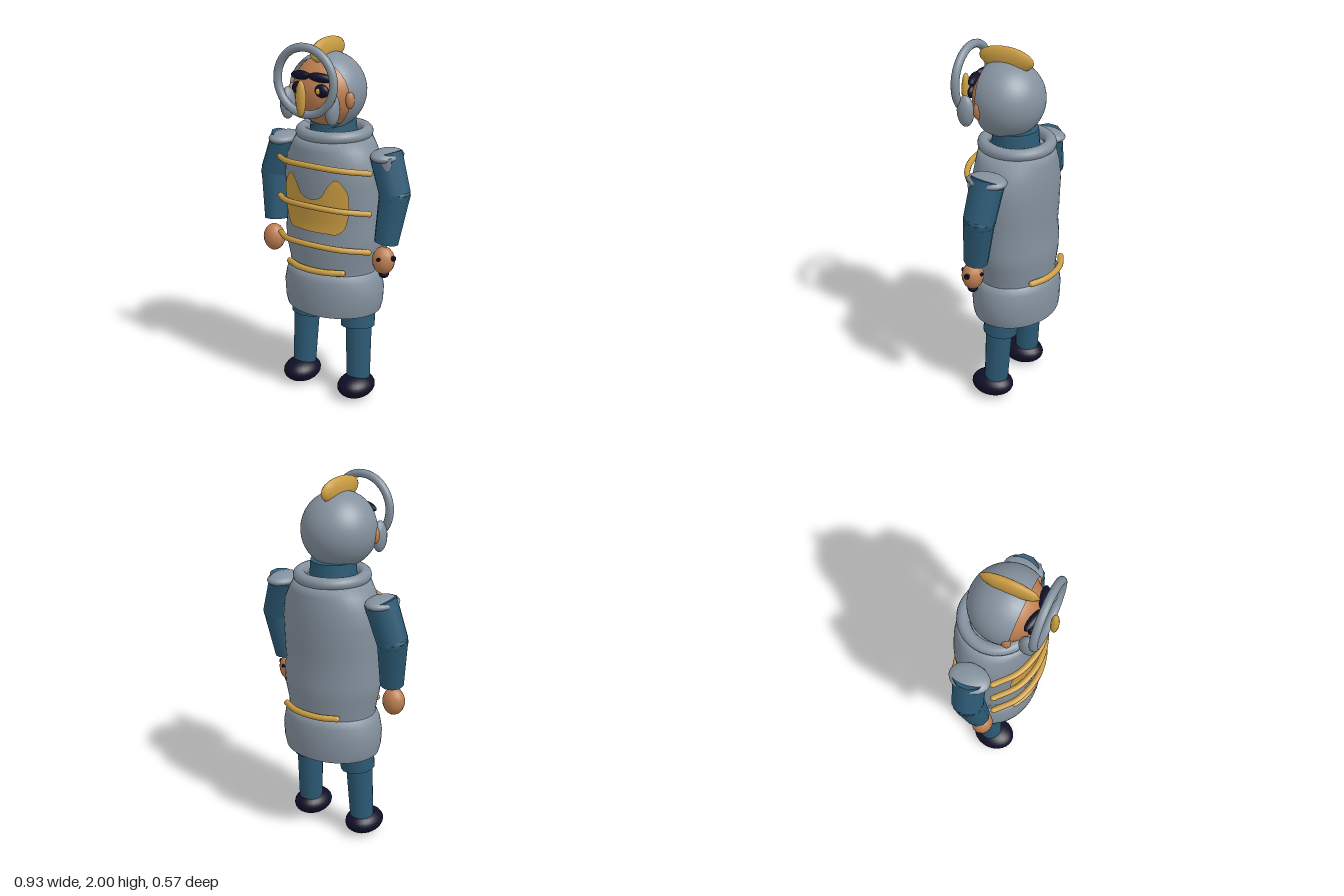
import * as THREE from 'three';
import { mergeVertices } from 'three/addons/utils/BufferGeometryUtils.js';

const V = (x, y, z) => new THREE.Vector3(x, y, z);

// Torso and skirt cross-sections: [height, half width, half depth]
const BODY_Z = -0.038;
const TORSO = [[0.72, 0.25, 0.2], [0.78, 0.255, 0.205], [0.86, 0.275, 0.213], [0.93, 0.283, 0.214], [1.02, 0.276, 0.205],
  [1.12, 0.28, 0.212], [1.25, 0.285, 0.216], [1.35, 0.272, 0.213], [1.42, 0.235, 0.205], [1.47, 0.205, 0.197], [1.475, 0.1, 0.1]];
const SKIRT = [[0.505, 0.272, 0.222], [0.55, 0.285, 0.227], [0.63, 0.29, 0.229], [0.7, 0.275, 0.222], [0.74, 0.255, 0.208], [0.75, 0.2, 0.16]];

// Interpolated half width and half depth at a height
function sectionAt(rows, y) {
  for (let i = 1; i < rows.length; i++) {
    const [a, b] = [rows[i - 1], rows[i]];
    if (y <= b[0] + 1e-6) {
      const t = (y - a[0]) / (b[0] - a[0]);
      return [a[1] + (b[1] - a[1]) * t, a[2] + (b[2] - a[2]) * t];
    }
  }
  return rows[rows.length - 1].slice(1);
}

// Lathe whose depth is rescaled to an elliptical section
function ovalLathe(rows) {
  const g = new THREE.LatheGeometry(rows.map(r => new THREE.Vector2(r[1], r[0])), 40);
  const p = g.attributes.position;
  for (let i = 0; i < p.count; i++) {
    const [rx, rz] = sectionAt(rows, p.getY(i));
    p.setZ(i, p.getZ(i) * rz / rx + BODY_Z);
  }
  g.deleteAttribute('uv');
  g.deleteAttribute('normal');
  const merged = mergeVertices(g, 1e-5);
  merged.computeVertexNormals();
  return merged;
}

// Curved chest plate: strips between an upper and a lower outline, hugging the torso
function chestPlate() {
  const upper = new THREE.SplineCurve([[-0.2, 1.13], [-0.195, 1.22], [-0.145, 1.285], [-0.1, 1.25], [-0.06, 1.185], [0, 1.165]].map(p => new THREE.Vector2(...p)));
  const lower = new THREE.SplineCurve([[-0.2, 1.1], [-0.18, 1.02], [-0.14, 0.985], [-0.1, 0.985], [-0.05, 0.985], [0, 0.985]].map(p => new THREE.Vector2(...p)));
  const pos = [], index = [], N = 24, M = 8;
  for (let i = 0; i <= 2 * N; i++) {
    const t = 1 - Math.abs(i - N) / N, s = i <= N ? 1 : -1;
    const a = lower.getPoint(t), b = upper.getPoint(t);
    for (let j = 0; j <= M; j++) {
      const q = a.clone().lerp(b, j / M), [rx, rz] = sectionAt(TORSO, q.y);
      pos.push(q.x * s, q.y, BODY_Z + 0.009 + rz * Math.sqrt(1 - (q.x / rx / 1.04) ** 2));
      if (i < 2 * N && j < M) {
        const k = i * (M + 1) + j, n = k + M + 1;
        index.push(k, n, k + 1, n, n + 1, k + 1);
      }
    }
  }
  const g = new THREE.BufferGeometry();
  g.setAttribute('position', new THREE.Float32BufferAttribute(pos, 3));
  g.setIndex(index);
  g.computeVertexNormals();
  return g;
}

export function createModel() {
  const root = new THREE.Group();
  const material = (name, color, extra = {}) => {
    const m = new THREE.MeshStandardMaterial({ color, ...extra });
    m.name = name;
    return m;
  };
  const steel = material('steel', 0x84919e, { side: THREE.DoubleSide });
  const cloth = material('teal cloth', 0x2c5a75);
  const gold = material('gold', 0xcb9d42, { side: THREE.DoubleSide });
  const skin = material('skin', 0xbd7e50);
  const dark = material('dark', 0x100f28);

  const add = (name, geometry, mat) => {
    const m = new THREE.Mesh(geometry, mat);
    m.name = name;
    root.add(m);
    return m;
  };
  const ellipsoid = (name, mat, c, r, w = 24, h = 16) => {
    const m = add(name, new THREE.SphereGeometry(1, w, h), mat);
    m.position.set(...c);
    m.scale.set(...r);
    return m;
  };
  // Tapered limb from a to b
  const limb = (name, mat, a, b, ra, rb, sides = 14) => {
    const d = a.clone().sub(b);
    const m = add(name, new THREE.CylinderGeometry(ra, rb, d.length(), sides), mat);
    m.position.copy(a).add(b).multiplyScalar(0.5);
    m.quaternion.setFromUnitVectors(V(0, 1, 0), d.normalize());
    return m;
  };
  // Round-ended rod along a curve through the points
  const rod = (name, mat, points, r) => {
    const curve = new THREE.CatmullRomCurve3(points);
    add(name, new THREE.TubeGeometry(curve, 28, r, 10), mat);
    for (const p of [points[0], points[points.length - 1]]) ellipsoid(name + 'End', mat, p.toArray(), [r, r, r], 10, 8);
  };

  // Armoured body
  add('torso', ovalLathe(TORSO), steel);
  add('skirt', ovalLathe(SKIRT), steel);
  const base = add('skirtBase', new THREE.CircleGeometry(1, 40).rotateX(Math.PI / 2), steel);
  base.scale.set(0.272, 1, 0.222);
  base.position.set(0, 0.506, BODY_Z);
  const collar = add('collar', new THREE.TorusGeometry(0.173, 0.034, 12, 40).rotateX(Math.PI / 2), steel);
  collar.position.set(0, 1.49, BODY_Z);
  limb('neck', cloth, V(0, 1.57, -0.03), V(0, 1.44, -0.03), 0.12, 0.13, 24);

  // Gold trim
  add('chestEmblem', chestPlate(), gold);
  for (const y of [1.355, 1.135, 0.922]) {
    rod('chestBand', gold, [V(-0.285, y - 0.032, 0.065), V(-0.17, y - 0.012, 0.165), V(0, y, 0.208),
      V(0.17, y - 0.012, 0.165), V(0.285, y - 0.032, 0.065)], 0.016);
  }
  for (const s of [1, -1]) {
    const z = d => s * d - 0.04;
    rod(s > 0 ? 'frontBelt' : 'backBelt', gold, [V(-0.17, 0.77, z(0.18)), V(-0.09, 0.77, z(0.218)), V(0, 0.77, z(0.23)),
      V(0.09, 0.77, z(0.218)), V(0.17, 0.77, z(0.18))], 0.017);
  }

  // Head and helmet
  ellipsoid('face', skin, [0, 1.72, 0.01], [0.19, 0.19, 0.19], 32, 24);
  const helmet = add('helmet', new THREE.SphereGeometry(0.203, 36, 20, 0, Math.PI * 2, 1.16, Math.PI - 1.16).rotateX(Math.PI / 2 + 0.1), steel);
  helmet.position.set(0, 1.72, 0.022);
  ellipsoid('crest', gold, [0, 1.93, 0.025], [0.03, 0.066, 0.158], 12, 10);
  add('visorRing', new THREE.TorusGeometry(0.172, 0.022, 12, 40), steel).position.set(0, 1.8, 0.226);
  ellipsoid('noseGuard', gold, [0, 1.718, 0.265], [0.028, 0.095, 0.022], 12, 10);

  for (const s of [1, -1]) {
    // Face details
    ellipsoid('visorHinge', steel, [s * 0.138, 1.665, 0.187], [0.036, 0.085, 0.048], 16, 12);
    ellipsoid('ear', skin, [s * 0.18, 1.7, 0.09], [0.022, 0.046, 0.026], 12, 10);
    ellipsoid('eye', dark, [s * 0.07, 1.75, 0.182], [0.042, 0.034, 0.022], 16, 12);
    ellipsoid('pupil', gold, [s * 0.06, 1.75, 0.202], [0.014, 0.016, 0.009], 12, 8);
    ellipsoid('brow', dark, [s * 0.062, 1.817, 0.18], [0.07, 0.024, 0.024], 16, 10).rotation.set(0, s * 0.25, -s * 0.1);

    // Arms
    const elbow = V(s * 0.385, 1.2, -0.03);
    limb('upperArm', cloth, V(s * 0.315, 1.41, -0.045), elbow, 0.09, 0.085, 10);
    ellipsoid('elbow', cloth, elbow.toArray(), [0.08, 0.07, 0.085], 10, 8);
    limb('forearm', cloth, V(s * 0.383, 1.215, -0.03), V(s * 0.358, 0.945, 0.008), 0.084, 0.065, 10);
    ellipsoid('pauldron', steel, [s * 0.325, 1.403, -0.042], [0.08, 0.035, 0.11]);
    ellipsoid('hand', skin, [s * 0.357, s > 0 ? 0.852 : 0.838, 0.03], [0.062, 0.076, 0.058], 12, 10);

    // Legs
    limb('thigh', cloth, V(s * 0.155, 0.58, -0.04), V(s * 0.165, 0.415, -0.025), 0.097, 0.094, 16);
    limb('shin', cloth, V(s * 0.172, 0.44, -0.023), V(s * 0.182, 0.1, -0.007), 0.073, 0.065, 16);
    ellipsoid('foot', dark, [s * 0.183, 0.067, 0.015], [0.098, 0.067, 0.12]);
  }

  // Sword held upwards along the left arm
  const blade = limb('swordBlade', steel, V(0.347, 1.41, 0.026), V(0.36, 0.86, 0.026), 0.045, 0.012, 12);
  blade.scale.z = 0.36;
  limb('swordGuard', dark, V(0.425, 0.873, 0.03), V(0.3, 0.873, 0.03), 0.014, 0.014, 10);
  limb('swordGuardCross', dark, V(0.36, 0.873, 0.092), V(0.36, 0.873, -0.03), 0.01, 0.01, 10);
  ellipsoid('swordPommel', dark, [0.36, 0.778, 0.03], [0.028, 0.024, 0.028], 12, 10);

  return root;
}
